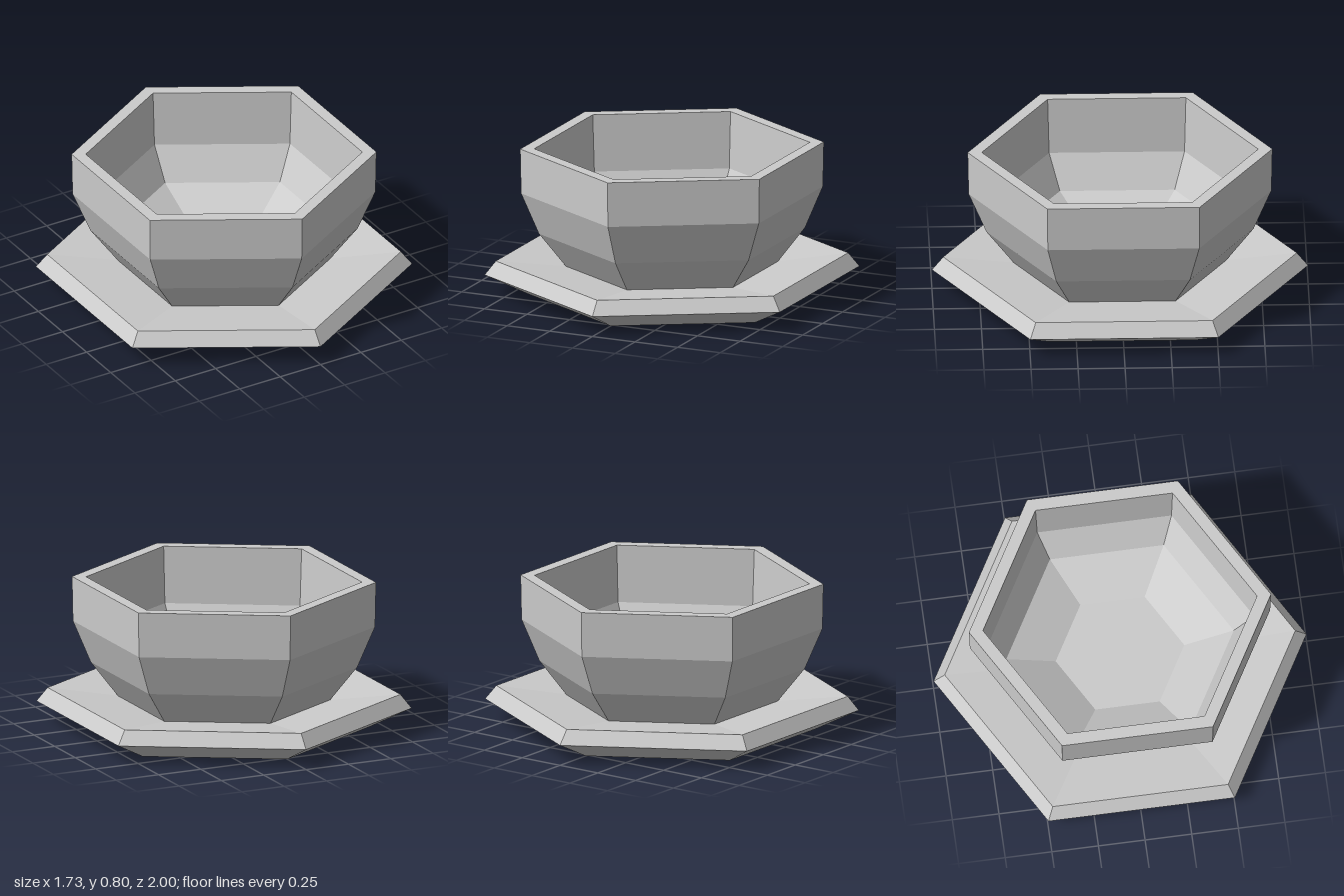
import * as THREE from 'three';

const SIDES = 6;
const material = new THREE.MeshStandardMaterial({ color: 0xcccccc, flatShading: true });

// Turns a [radius, height] profile into a faceted six-sided solid.
function hexLathe(name, profile) {
  const points = profile.map(([r, y]) => new THREE.Vector2(r, y));
  const geometry = new THREE.LatheGeometry(points, SIDES).toNonIndexed();
  geometry.computeVertexNormals();
  const mesh = new THREE.Mesh(geometry, material);
  mesh.name = name;
  return mesh;
}

export function createModel() {
  const model = new THREE.Group();
  model.name = 'bowlOnSaucer';

  // Saucer: flat base, flared underside, bevelled rim, shallow dished top
  model.add(hexLathe('saucer', [
    [0, 0], [0.77, 0], [1, 0.11], [0.94, 0.185], [0, 0.09],
  ]));

  // Bowl: outer wall up to the rim, then the inner wall down to the floor
  model.add(hexLathe('bowl', [
    [0, 0.11], [0.537, 0.11], [0.71, 0.33], [0.805, 0.555], [0.81, 0.8],
    [0.735, 0.8], [0.72, 0.49], [0.61, 0.31], [0.345, 0.18], [0, 0.18],
  ]));

  return model;
}
